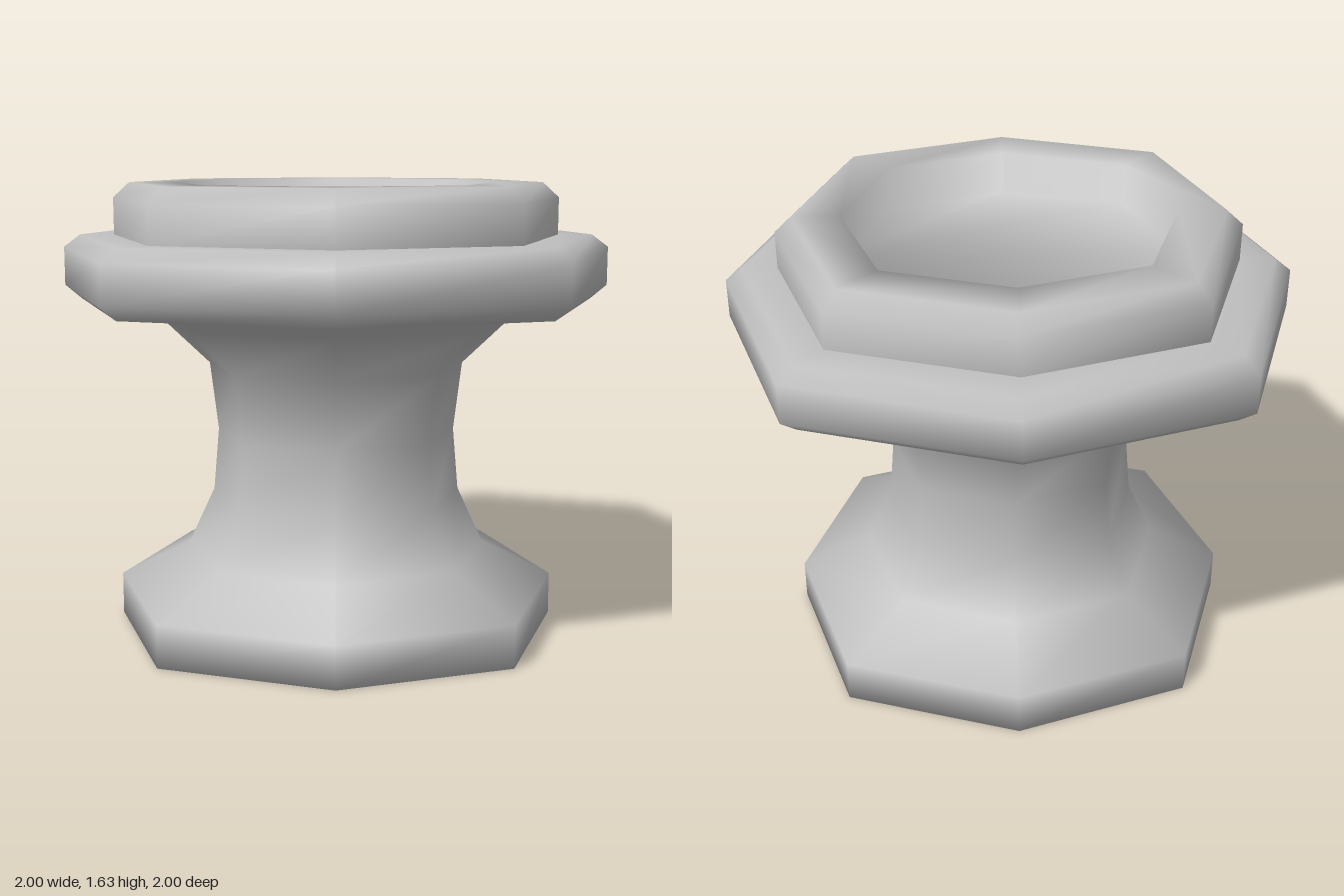
import * as THREE from 'three';

const SIDES = 8;

// Sweeps a [radius, height] profile around y as eight smooth sides.
// The first and last rings can each be closed with a flat cap that shares their normals.
function turnedPart(profile, { capStart = false, capEnd = false } = {}) {
  const positions = [];
  const normals = [];
  const indices = [];
  const count = profile.length;

  // Unit normal of the profile segment from p to q
  const segmentNormal = (p, q) => new THREE.Vector2(q[1] - p[1], p[0] - q[0]).normalize();

  profile.forEach((point, i) => {
    const [radius, y] = point;
    const normal = new THREE.Vector2();
    if (i > 0) normal.add(segmentNormal(profile[i - 1], point));
    else if (capStart) normal.add(segmentNormal([0, y], point));
    if (i < count - 1) normal.add(segmentNormal(point, profile[i + 1]));
    else if (capEnd) normal.add(segmentNormal(point, [0, y]));
    normal.normalize();

    for (let j = 0; j < SIDES; j++) {
      const a = (j / SIDES) * Math.PI * 2;
      const r = radius * (j % 2 ? 1.063 : 1); // diagonal corners reach slightly further
      positions.push(r * Math.cos(a), y, r * Math.sin(a));
      normals.push(normal.x * Math.cos(a), normal.y, normal.x * Math.sin(a));
    }
  });

  for (let i = 0; i < count - 1; i++) {
    for (let j = 0; j < SIDES; j++) {
      const a = i * SIDES + j;
      const b = i * SIDES + ((j + 1) % SIDES);
      indices.push(a, a + SIDES, b, b, a + SIDES, b + SIDES);
    }
  }
  const last = (count - 1) * SIDES;
  for (let j = 1; j < SIDES - 1; j++) {
    if (capStart) indices.push(0, j, j + 1);
    if (capEnd) indices.push(last, last + j + 1, last + j);
  }

  const geometry = new THREE.BufferGeometry();
  geometry.setAttribute('position', new THREE.Float32BufferAttribute(positions, 3));
  geometry.setAttribute('normal', new THREE.Float32BufferAttribute(normals, 3));
  geometry.setIndex(indices);
  return geometry;
}

export function createModel() {
  const stone = new THREE.MeshStandardMaterial({ color: 0xbfbfbf });
  stone.name = 'grey stone';

  const model = new THREE.Group();
  model.name = 'pedestalBasin';
  const addPart = (name, profile, caps) => {
    const mesh = new THREE.Mesh(turnedPart(profile, caps), stone);
    mesh.name = name;
    model.add(mesh);
  };

  // Foot and waist, flaring out under the flange
  addPart('column', [
    [0.815, 0], [0.815, 0.155], [0.555, 0.285], [0.46, 0.49], [0.44, 0.72],
    [0.47, 0.97], [0.65, 1.14], [0.815, 1.22],
  ], { capStart: true });

  // Wide bevelled ring
  addPart('flange', [
    [0.79, 1.21], [0.94, 1.21], [1, 1.26], [1, 1.4], [0.94, 1.445], [0.81, 1.445],
  ]);

  // Raised rim with a flat top and a shallow recessed floor
  addPart('rimAndBasin', [
    [0.815, 1.44], [0.815, 1.58], [0.755, 1.635], [0.585, 1.635], [0.585, 1.48],
  ], { capEnd: true });

  return model;
}
